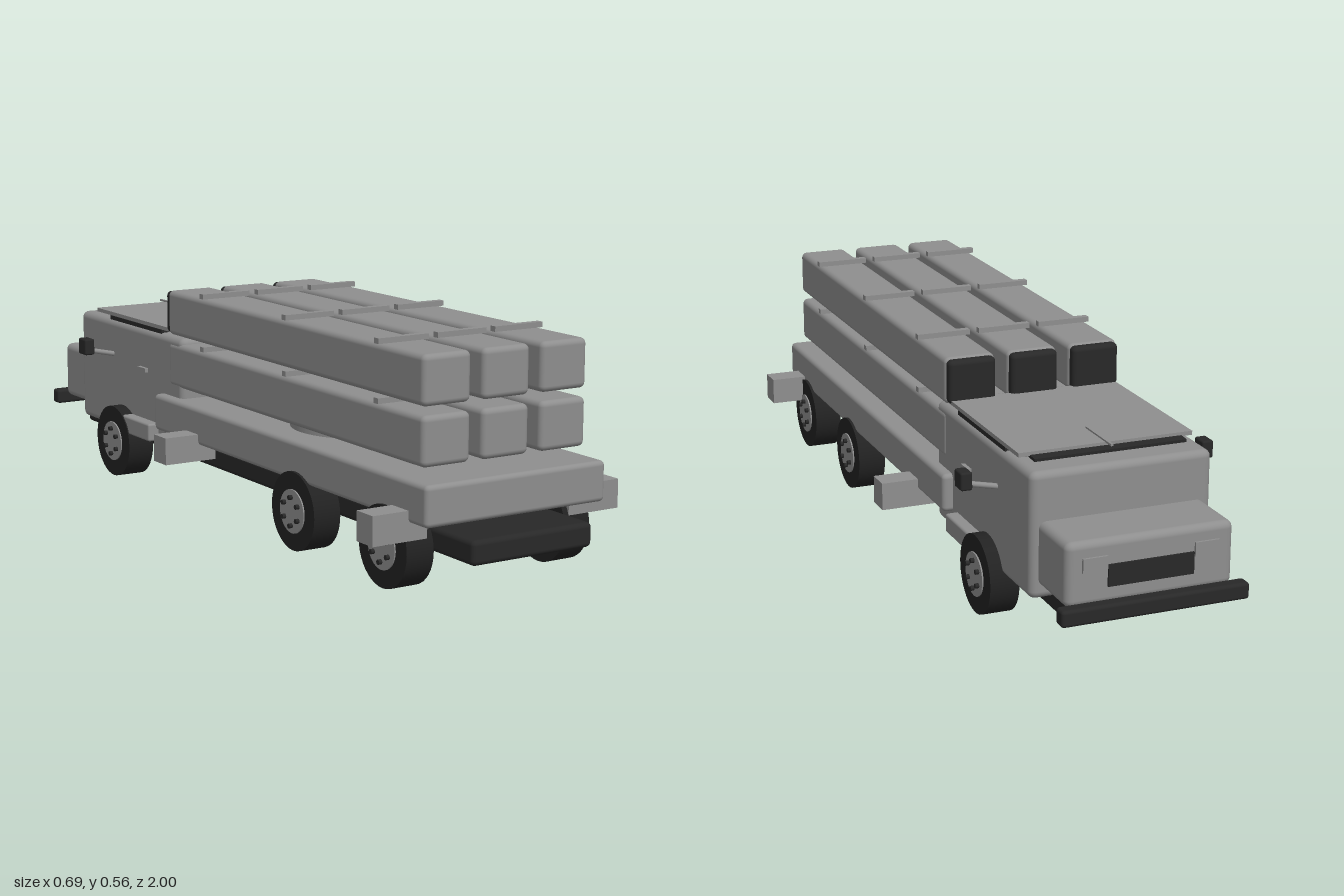
import * as THREE from 'three';
import { RoundedBoxGeometry } from 'three/addons/geometries/RoundedBoxGeometry.js';

const paint = (name, color) => {
  const m = new THREE.MeshStandardMaterial({ color });
  m.name = name;
  return m;
};

export function createModel() {
  const model = new THREE.Group();
  model.name = 'launcherTruck';
  const grey = paint('bodyGrey', 0x8e8e8e);
  const dark = paint('darkTrim', 0x282828);
  const rubber = paint('tyreRubber', 0x222222);

  const add = (name, geo, mat, x = 0, y = 0, z = 0, parent = model) => {
    const mesh = new THREE.Mesh(geo, mat);
    mesh.name = name;
    mesh.position.set(x, y, z);
    parent.add(mesh);
    return mesh;
  };
  // Box given by its limits on each axis; r > 0 rounds the edges
  const box = (name, mat, [x0, x1], [y0, y1], [z0, z1], r = 0) => {
    const s = [x1 - x0, y1 - y0, z1 - z0];
    const geo = r ? new RoundedBoxGeometry(...s, 3, r) : new THREE.BoxGeometry(...s);
    return add(name, geo, mat, (x0 + x1) / 2, (y0 + y1) / 2, (z0 + z1) / 2);
  };
  const mirrored = (s, a, b) => (s > 0 ? [a, b] : [-b, -a]);

  // Chassis and load bed
  box('chassis', dark, [-0.167, 0.167], [0.086, 0.144], [-0.895, 1], 0.012);
  box('bed', grey, [-0.251, 0.251], [0.169, 0.266], [-0.325, 0.94], 0.012);
  add('turntable', new THREE.CylinderGeometry(0.18, 0.18, 0.034, 48), grey, 0, 0.281, 0.305);

  // Cab, hood and front end
  box('cab', grey, [-0.225, 0.225], [0.122, 0.425], [-0.81, -0.215], 0.018);
  box('hood', grey, [-0.205, 0.205], [0.155, 0.309], [-0.962, -0.78], 0.018);
  box('bumper', dark, [-0.23, 0.23], [0.13, 0.17], [-1, -0.963], 0.008);
  box('bumperMount', dark, [-0.1, 0.1], [0.135, 0.165], [-0.97, -0.88]);
  box('grille', dark, [-0.105, 0.105], [0.198, 0.25], [-0.967, -0.958]);

  // Roof panel with the window strips below its edges
  box('roof', grey, [-0.218, 0.218], [0.434, 0.444], [-0.72, -0.29]);
  box('roofBase', grey, [-0.19, 0.19], [0.42, 0.435], [-0.7, -0.3]);
  const windshield = box('windshield', dark, [-0.19, 0.19], [0.431, 0.438], [-0.747, -0.64]);
  windshield.rotation.x = -0.05;
  const wiper = box('wiper', dark, [-0.003, 0.003], [0.443, 0.448], [-0.75, -0.61]);
  wiper.material = grey;

  for (const s of [1, -1]) {
    const side = s > 0 ? 'left' : 'right';
    box(side + 'Window', dark, mirrored(s, 0.19, 0.217), [0.415, 0.433], [-0.64, -0.34]);
    box(side + 'Headlight', grey, mirrored(s, 0.107, 0.167), [0.238, 0.272], [-0.968, -0.955]);
    box(side + 'DoorHandle', grey, mirrored(s, 0.22, 0.235), [0.309, 0.32], [-0.45, -0.405]);
    box(side + 'Step', grey, mirrored(s, 0.2, 0.255), [0.13, 0.178], [-0.51, -0.35], 0.006);

    // Side mirror on a sloping arm
    box(side + 'Mirror', dark, mirrored(s, 0.293, 0.322), [0.336, 0.38], [-0.632, -0.588], 0.005);
    const arm = new THREE.LineCurve3(
      new THREE.Vector3(s * 0.215, 0.328, -0.61), new THREE.Vector3(s * 0.298, 0.346, -0.61));
    add(side + 'MirrorArm', new THREE.TubeGeometry(arm, 1, 0.007, 10), grey);

    // Outriggers
    for (const z of [-0.115, 0.84]) {
      box(side + 'Outrigger', grey, mirrored(s, 0.2, 0.346), [0.128, 0.198], [z - 0.032, z + 0.032]);
    }

    // Wheels: tyre, hub and a ring of lug nuts, axis along x
    for (const z of [-0.555, 0.395, 0.78]) {
      const wheel = new THREE.Group();
      wheel.name = side + 'Wheel';
      wheel.position.set(s * 0.2215, 0.097, z);
      wheel.rotation.z = -s * Math.PI / 2;
      model.add(wheel);
      add('tyre', new THREE.CylinderGeometry(0.097, 0.097, 0.073, 40), rubber, 0, 0, 0, wheel);
      add('hub', new THREE.CylinderGeometry(0.054, 0.054, 0.012, 32), grey, 0, 0.034, 0, wheel);
      for (let i = 0; i < 6; i++) {
        const a = i * Math.PI / 3;
        add('lugNut', new THREE.CylinderGeometry(0.006, 0.006, 0.012, 10), dark,
          Math.cos(a) * 0.035, 0.043, Math.sin(a) * 0.035, wheel);
      }
    }
  }

  // Two layers of three canisters with straps and dark front caps
  for (const y of [0.293, 0.43]) {
    for (const x of [-0.1625, 0, 0.1625]) {
      box('canister', grey, [x - 0.065, x + 0.065], [y, y + 0.117], [-0.285, 0.892], 0.014);
      box('canisterCap', dark, [x - 0.061, x + 0.061], [y + 0.004, y + 0.113], [-0.303, -0.27], 0.012);
      for (const z of [-0.095, 0.31, 0.71]) {
        box('strap', grey, [x - 0.069, x + 0.069], [y + 0.117, y + 0.13], [z - 0.009, z + 0.009]);
      }
    }
  }
  return model;
}
